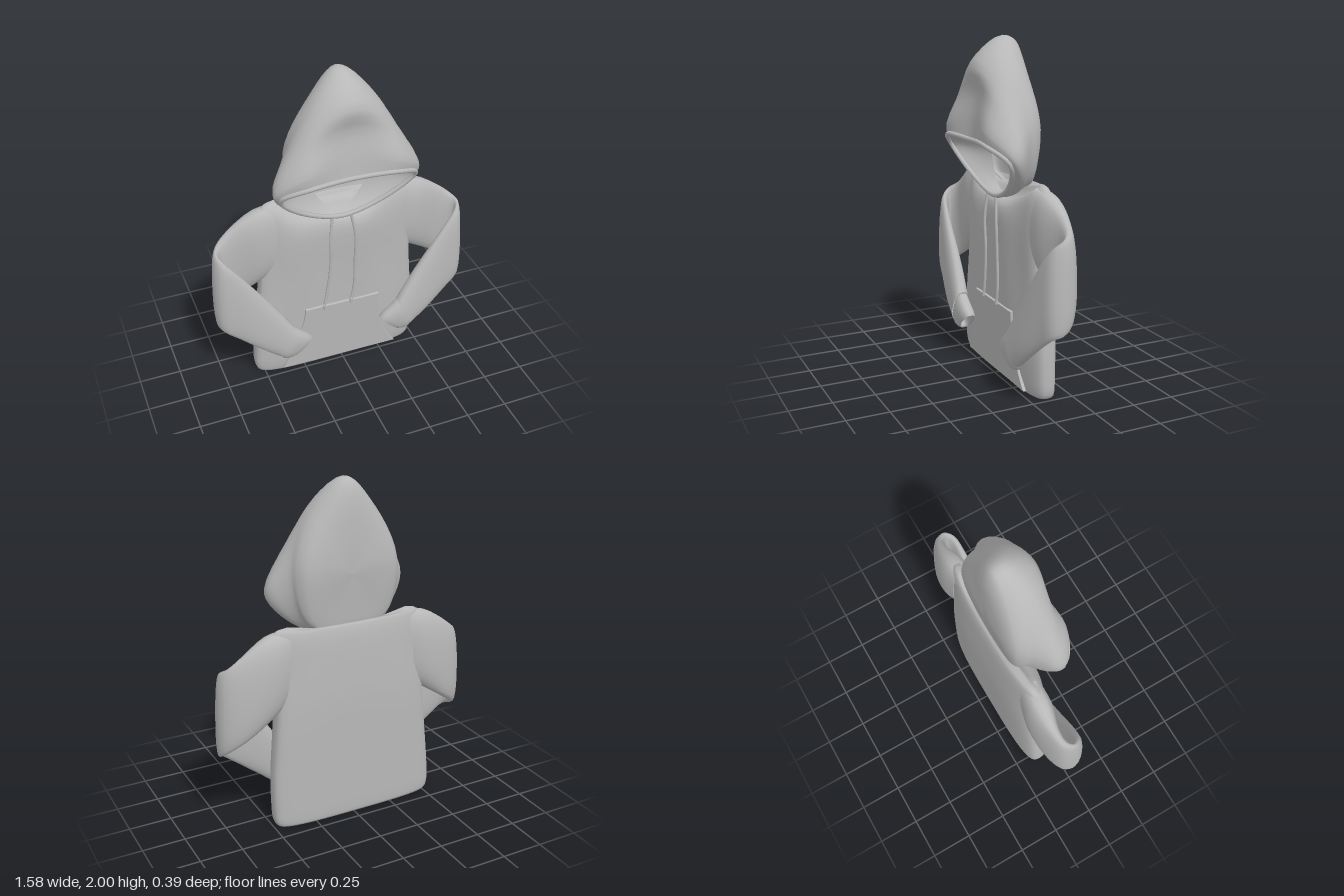
import * as THREE from 'three';

const V = (x, y, z) => new THREE.Vector3(x, y, z);
const fabric = new THREE.MeshStandardMaterial({ color: 0xb8b8b8, side: THREE.DoubleSide });
fabric.name = 'grey fabric';

// Skin between closed rings of equal point count, smoothed lengthwise
function loft(rings, sub) {
  const n = rings[0].length;
  const rows = (rings.length - 1) * sub + 1;
  const columns = rings[0].map((_, i) =>
    new THREE.CatmullRomCurve3(rings.map(r => r[i])).getPoints(rows - 1));
  const pos = [], idx = [];
  for (let j = 0; j < rows; j++) {
    for (let i = 0; i < n; i++) pos.push(...columns[i][j].toArray());
  }
  for (let j = 0; j < rows - 1; j++) {
    for (let i = 0; i < n; i++) {
      const a = j * n + i, b = j * n + (i + 1) % n;
      idx.push(a, b, b + n, a, b + n, a + n);
    }
  }
  const g = new THREE.BufferGeometry();
  g.setAttribute('position', new THREE.Float32BufferAttribute(pos, 3));
  g.setIndex(idx);
  g.computeVertexNormals();
  return g;
}

const spow = (v, e) => Math.sign(v) * Math.pow(Math.abs(v), e);
const clamp01 = v => THREE.MathUtils.clamp(v, 0, 1);

// Flat rounded body section: height, centre x, half width, back z, front z
function bodyRing([y, cx, hw, back, front]) {
  const pts = [];
  const round = 0.6 + 0.2 * clamp01((y - 0.7) / 0.4);
  for (let i = 0; i < 48; i++) {
    const t = i / 48 * Math.PI * 2;
    const x = cx + hw * spow(Math.cos(t), round);
    let z = (back + front) / 2 + (front - back) / 2 * spow(Math.sin(t), round);
    // neckline scooped at the front
    const rise = Math.max(0, (y - 1) / 0.215);
    const scoop = Math.max(0, 1 - (x / 0.38) ** 2) * clamp01((z + 0.16) / 0.08);
    // soft vertical folds on the chest
    if (z > -0.06 && y > 0.6 && y < 1.15) z += 0.008 * Math.sin(x * 17);
    pts.push(V(x, y - 0.13 * rise * scoop, z));
  }
  return pts;
}

// Sleeve section between an upper and a lower edge, its thickness turned by angle
function sleeveRing(side, [tx, ty, tz, bx, by, bz, thick, angle]) {
  const a = angle * Math.PI / 180;
  const mid = V((tx + bx) / 2, (ty + by) / 2, (tz + bz) / 2);
  const up = V(tx, ty, tz).sub(mid);
  const out = V(Math.cos(a), 0, Math.sin(a)).multiplyScalar(thick);
  const pts = [];
  for (let i = 0; i < 24; i++) {
    const t = i / 24 * Math.PI * 2;
    const p = mid.clone().addScaledVector(up, spow(Math.cos(t), 0.85))
      .addScaledVector(out, spow(Math.sin(t), 0.75));
    p.x *= side;
    pts.push(p);
  }
  return pts;
}

// Hood section from five points: top, upper side, side, lower side, bottom
function hoodCurve(h) {
  const p = [0, 1, 2, 3, 4].map(i => V(h[i * 3], h[i * 3 + 1], h[i * 3 + 2]));
  const mirrored = [3, 2, 1].map(i => V(-p[i].x, p[i].y, p[i].z));
  return new THREE.CatmullRomCurve3([...p, ...mirrored], true);
}
const hoodRing = h => hoodCurve(h).getPoints(48).slice(0, 48);

export function createModel() {
  const model = new THREE.Group();
  model.name = 'hoodie';
  const add = (name, geometry) => {
    const m = new THREE.Mesh(geometry, fabric);
    m.name = name;
    model.add(m);
    return m;
  };

  // Torso, closed inside the hem and under the hood
  add('torso', loft([
    [0.02, -0.03, 0.001, -0.11, -0.109],
    [0.02, -0.03, 0.46, -0.17, -0.04],
    [0.0, -0.03, 0.5, -0.185, -0.03],
    [0.03, -0.03, 0.518, -0.19, -0.022],
    [0.1, -0.03, 0.524, -0.192, -0.014],
    [0.35, -0.02, 0.512, -0.195, -0.003],
    [0.72, -0.015, 0.475, -0.2, 0],
    [0.95, -0.012, 0.472, -0.19, 0.01],
    [1.1, -0.005, 0.49, -0.18, 0],
    [1.18, 0, 0.47, -0.165, -0.03],
    [1.215, 0, 0.38, -0.15, -0.07],
    [1.2, 0, 0.001, -0.111, -0.11],
  ].map(bodyRing), 2));

  // Sleeves folded forward at the elbow, with cuffs resting on the pocket
  const sleeve = [
    [0.37, 1.2, -0.095, 0.42, 0.74, -0.095, 0.075, -90],
    [0.5, 1.178, -0.1, 0.5, 0.69, -0.11, 0.082, -90],
    [0.64, 1.095, -0.1, 0.65, 0.59, -0.12, 0.05, -80],
    [0.725, 1.025, -0.075, 0.745, 0.52, -0.08, 0.038, -45],
    [0.752, 0.995, -0.03, 0.772, 0.485, -0.03, 0.024, 0],
    [0.725, 0.955, 0.012, 0.75, 0.465, 0.018, 0.03, 50],
    [0.65, 0.865, 0.03, 0.67, 0.4, 0.038, 0.031, 85],
    [0.46, 0.595, 0.04, 0.53, 0.285, 0.055, 0.046, 90],
    [0.34, 0.41, 0.055, 0.43, 0.205, 0.055, 0.05, 90],
  ];
  const cuff = [
    [0.34, 0.405, 0.055, 0.43, 0.21, 0.055, 0.046, 90],
    [0.3, 0.365, 0.055, 0.41, 0.18, 0.05, 0.05, 90],
    [0.225, 0.295, 0.05, 0.36, 0.172, 0.04, 0.042, 90],
    [0.245, 0.29, 0.05, 0.36, 0.19, 0.045, 0.03, 90],
    [0.3, 0.33, 0.055, 0.39, 0.22, 0.055, 0.03, 90],
  ];
  for (const [side, label] of [[1, 'left'], [-1, 'right']]) {
    add(label + 'Sleeve', loft(sleeve.map(r => sleeveRing(side, r)), 3));
    add(label + 'Cuff', loft(cuff.map(r => sleeveRing(side, r)), 2));
  }

  // Hood shell, from the face opening to the back of the head
  const rim = [0, 1.425, 0.15, 0.26, 1.425, 0.175, 0.4, 1.345, 0.1, 0.26, 1.19, 0.035, 0, 1.095, 0.005];
  add('hood', loft([
    rim,
    [0, 1.55, 0.135, 0.27, 1.5, 0.175, 0.43, 1.36, 0.08, 0.3, 1.19, 0, 0, 1.085, -0.02],
    [0, 1.7, 0.115, 0.25, 1.62, 0.13, 0.42, 1.41, 0.035, 0.3, 1.2, -0.03, 0, 1.09, -0.06],
    [0, 1.83, 0.14, 0.22, 1.73, 0.09, 0.375, 1.46, -0.01, 0.27, 1.2, -0.06, 0, 1.11, -0.08],
    [0, 1.95, 0.045, 0.19, 1.82, 0.03, 0.33, 1.5, -0.06, 0.25, 1.2, -0.085, 0, 1.14, -0.1],
    [0, 2.0, -0.05, 0.17, 1.85, -0.05, 0.315, 1.52, -0.1, 0.24, 1.2, -0.115, 0, 1.16, -0.125],
    [0, 1.97, -0.125, 0.15, 1.8, -0.13, 0.275, 1.5, -0.15, 0.2, 1.2, -0.135, 0, 1.18, -0.14],
    [0, 1.7, -0.165, 0.07, 1.62, -0.168, 0.12, 1.5, -0.17, 0.1, 1.3, -0.15, 0, 1.25, -0.148],
    [0, 1.48, -0.168, 0, 1.48, -0.168, 0, 1.48, -0.168, 0, 1.48, -0.168, 0, 1.48, -0.168],
  ].map(hoodRing), 3));

  // Lining turned in behind the face opening
  add('hoodLining', loft([
    rim,
    [0, 1.43, 0.1, 0.22, 1.43, 0.1, 0.32, 1.34, 0.03, 0.2, 1.19, -0.005, 0, 1.105, -0.015],
    [0, 1.44, 0.03, 0.15, 1.43, 0, 0.17, 1.32, -0.06, 0.11, 1.18, -0.06, 0, 1.115, -0.05],
  ].map(hoodRing), 3));

  // Rolled hem around the opening
  add('hoodHem', new THREE.TubeGeometry(hoodCurve(rim), 64, 0.014, 8, true));

  // Front pocket with curved hand openings
  const s = new THREE.Shape();
  s.moveTo(-0.24, 0.46);
  s.lineTo(0.23, 0.455);
  s.bezierCurveTo(0.22, 0.3, 0.27, 0.12, 0.355, 0.02);
  s.lineTo(-0.385, 0.03);
  s.bezierCurveTo(-0.33, 0.14, -0.25, 0.3, -0.24, 0.46);
  const pocket = add('pocket', new THREE.ExtrudeGeometry(s, {
    depth: 0.012, bevelEnabled: true, bevelSize: 0.004, bevelThickness: 0.004, bevelSegments: 2, curveSegments: 10,
  }));
  pocket.position.z = -0.026;
  pocket.rotation.x = 0.045;

  // Drawstrings hanging from the neckline, with knotted tips
  const strings = [
    ['rightDrawstring', [[-0.07, 1.1, 0.01], [-0.085, 0.95, 0.022], [-0.085, 0.75, 0.016], [-0.105, 0.58, 0.012], [-0.125, 0.46, 0.01]]],
    ['leftDrawstring', [[0.045, 1.1, 0.01], [0.07, 0.95, 0.022], [0.07, 0.75, 0.016], [0.068, 0.58, 0.012], [0.05, 0.46, 0.01]]],
  ];
  for (const [name, pts] of strings) {
    const path = new THREE.CatmullRomCurve3(pts.map(p => V(...p)));
    add(name, new THREE.TubeGeometry(path, 24, 0.009, 8));
    const tip = add(name + 'Tip', new THREE.CapsuleGeometry(0.011, 0.02, 4, 8));
    tip.position.copy(path.getPoint(1));
  }
  return model;
}
